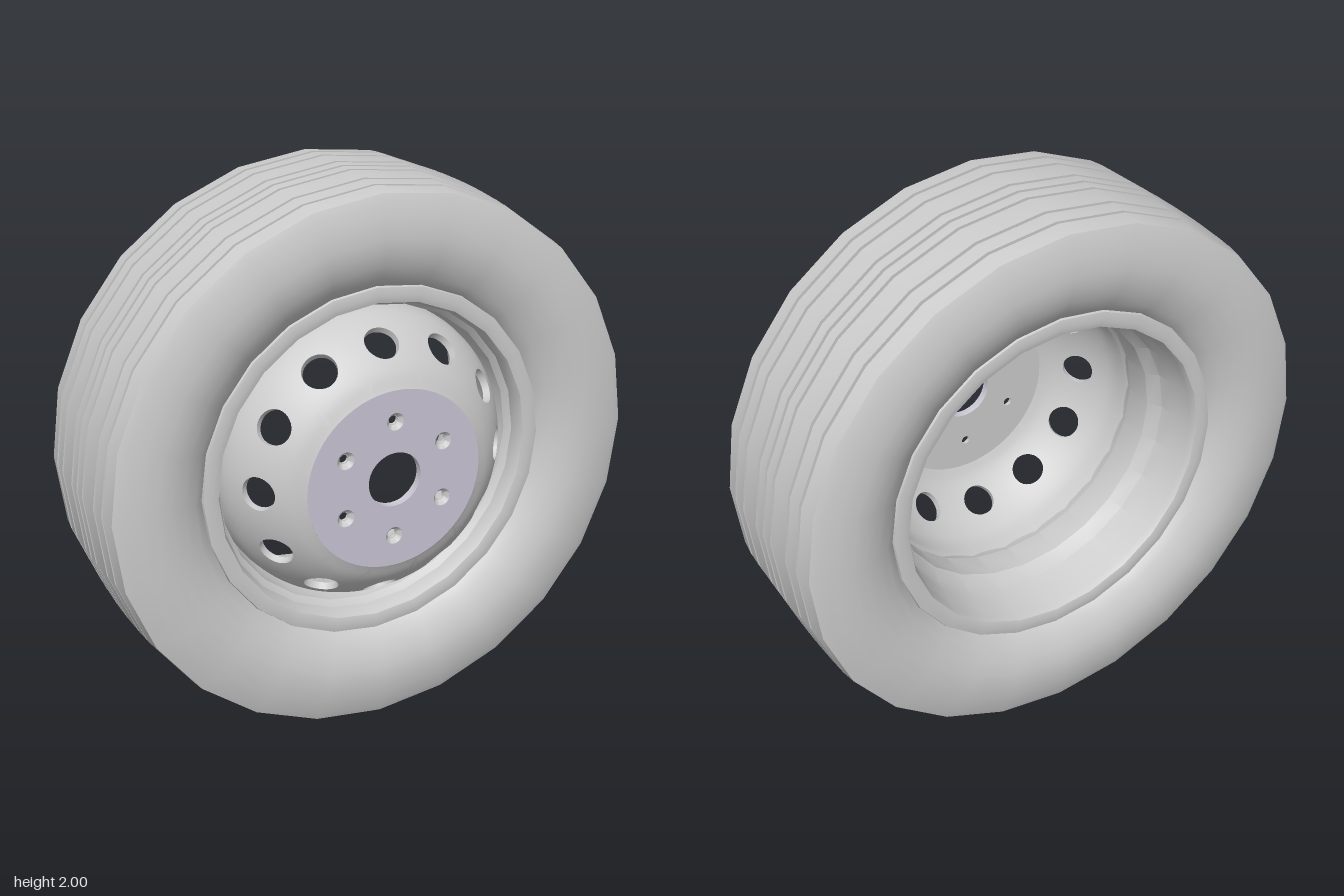
import * as THREE from 'three';
import { toCreasedNormals } from 'three/addons/utils/BufferGeometryUtils.js';
import { ParametricGeometry } from 'three/addons/geometries/ParametricGeometry.js';

const TAU = Math.PI * 2;
const grey = new THREE.MeshStandardMaterial({ color: 0xcccccc });
const thin = new THREE.MeshStandardMaterial({ color: 0xcccccc, side: THREE.DoubleSide });
const tinted = new THREE.MeshStandardMaterial({ color: 0xc9c5d6 });

function addMesh(parent, name, geometry, material) {
  const mesh = new THREE.Mesh(geometry, material);
  mesh.name = name;
  parent.add(mesh);
  return mesh;
}

// Revolves [radius, z] points around the wheel axle (z)
function revolve(points, segments, crease = 0.5) {
  const geo = new THREE.LatheGeometry(points.map(([r, z]) => new THREE.Vector2(r, z)), segments);
  geo.rotateX(Math.PI / 2);
  return toCreasedNormals(geo, crease);
}

// Tyre: one symmetric section, with grooves cut into the tread
function tyreProfile() {
  const side = [[0.64, 0.23], [0.655, 0.26], [0.69, 0.289], [0.74, 0.314], [0.79, 0.328], [0.84, 0.332],
    [0.9, 0.325], [0.96, 0.311], [0.984, 0.301]];
  const mid = -0.033, groove = 0.007, depth = 0.028;
  const treadRadius = w => 1 - 0.012 * (w / 0.3) ** 2;
  const points = side.map(([r, w]) => [r, mid - w]);
  for (const w of [-0.23, -0.16, -0.055, 0, 0.055, 0.16, 0.23]) {
    const r = treadRadius(w), a = mid + w - groove, b = mid + w + groove;
    points.push([r, a], [r - depth, a], [r - depth, b], [r, b]);
  }
  points.push(...side.slice().reverse().map(([r, w]) => [r, mid + w]));
  return points;
}

// Dish: curved wall with a ring of round holes, laid out as one patch per hole
const HOLES = 12, HOLE_RADIUS = 0.062, HOLE_RING = 0.465, THICKNESS = 0.025;
const dishCurve = new THREE.CatmullRomCurve3([[0.33, 0.365], [0.385, 0.338], [0.435, 0.297], [0.475, 0.25],
  [0.51, 0.195], [0.537, 0.13], [0.548, 0.05]].map(([r, z]) => new THREE.Vector3(r, z, 0)));
const dishLength = dishCurve.getLength();

function holePosition() {
  let t = 0;
  while (dishCurve.getPointAt(t).x < HOLE_RING) t += 0.005;
  return t * dishLength;
}

function dishPoint(angle, s, offset, target) {
  const t = THREE.MathUtils.clamp(s / dishLength, 0, 1);
  const p = dishCurve.getPointAt(t), d = dishCurve.getTangentAt(t);
  const r = p.x + d.y * offset, z = p.y - d.x * offset;
  target.set(Math.cos(angle) * r, Math.sin(angle) * r, z);
}

function buildDish() {
  const dish = new THREE.Group();
  dish.name = 'dish';
  const s0 = holePosition(), half = Math.PI / HOLES;
  // Blends a circle (v = 0) into the rectangular border of the patch (v = 1)
  const sheet = offset => (u, v, target) => {
    const a = u * TAU, c = Math.cos(a), s = Math.sin(a);
    const quarter = Math.round(a / (Math.PI / 2)) * Math.PI / 2;
    const slide = (a - quarter) / (Math.PI / 4);
    const qx = Math.cos(quarter) - Math.sin(quarter) * slide;
    const qy = Math.sin(quarter) + Math.cos(quarter) * slide;
    const edge = qy > 0 ? dishLength - s0 : s0;
    const angle = THREE.MathUtils.lerp(c * HOLE_RADIUS / HOLE_RING, qx * half, v);
    dishPoint(angle, s0 + THREE.MathUtils.lerp(s * HOLE_RADIUS, qy * edge, v), offset, target);
  };
  const wall = (u, v, target) => {
    const a = u * TAU;
    dishPoint(Math.cos(a) * HOLE_RADIUS / HOLE_RING, s0 + Math.sin(a) * HOLE_RADIUS, v * THICKNESS, target);
  };
  const parts = {
    dishFront: new ParametricGeometry(sheet(0), 32, 8),
    dishBack: new ParametricGeometry(sheet(THICKNESS), 32, 8),
    holeWall: new ParametricGeometry(wall, 32, 1),
  };
  for (let i = 0; i < HOLES; i++) {
    for (const [name, geo] of Object.entries(parts)) {
      addMesh(dish, name, geo, thin).rotation.z = i * TAU / HOLES;
    }
  }
  return dish;
}

// Hub: plate with an axle hole and six bolt holes
const boltSpots = Array.from({ length: 6 }, (_, i) => {
  const a = Math.PI / 2 + i * TAU / 6;
  return [Math.cos(a) * 0.215, Math.sin(a) * 0.215];
});

function hubPlate(boltRadius, depth) {
  const shape = new THREE.Shape().absarc(0, 0, 0.33, 0, TAU);
  const cut = (x, y, r) => shape.holes.push(new THREE.Path().absarc(x, y, r, 0, TAU, true));
  cut(0, 0, 0.1);
  for (const [x, y] of boltSpots) cut(x, y, boltRadius);
  return new THREE.ExtrudeGeometry(shape, { depth, bevelEnabled: false, curveSegments: 32 });
}

export function createModel() {
  const wheel = new THREE.Group();
  wheel.name = 'wheel';
  const body = new THREE.Group();
  body.name = 'wheelBody';
  body.position.y = 1;
  wheel.add(body);

  addMesh(body, 'tyre', revolve(tyreProfile(), 24), grey);

  // Rim: rolled lips at both ends, bead seats and a stepped well
  const rim = [[0.655, 0.215], [0.65, 0.232], [0.62, 0.238], [0.595, 0.232], [0.585, 0.21], [0.583, 0.17],
    [0.562, 0.15], [0.556, 0.09], [0.545, 0.05], [0.535, 0.03], [0.535, -0.08], [0.565, -0.13],
    [0.57, -0.19], [0.582, -0.22], [0.585, -0.275], [0.595, -0.298], [0.62, -0.304], [0.65, -0.298], [0.655, -0.281]];
  addMesh(body, 'rim', revolve(rim, 24), thin);

  body.add(buildDish());

  const back = addMesh(body, 'hubBack', hubPlate(0.016, 0.012), grey);
  back.position.z = 0.335;
  const front = addMesh(body, 'hubFace', hubPlate(0.032, 0.018), tinted);
  front.position.z = 0.347;

  // Countersunk seats in the bolt holes
  const seat = revolve([[0.032, 0.364], [0.018, 0.349], [0.016, 0.336]], 20);
  for (const [x, y] of boltSpots) addMesh(body, 'boltSeat', seat, thin).position.set(x, y, 0);

  return wheel;
}
